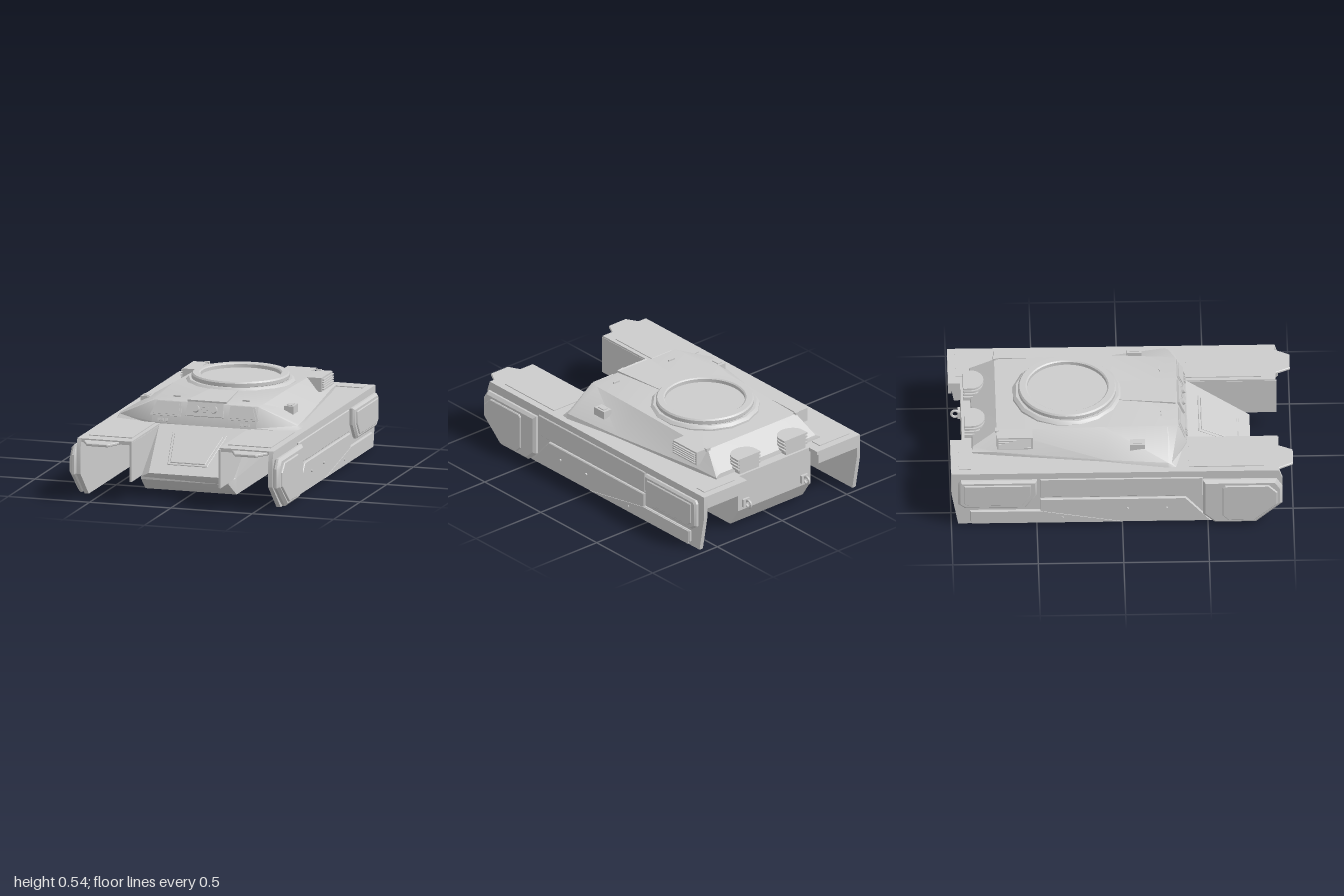
import * as THREE from 'three';
import { toCreasedNormals } from 'three/addons/utils/BufferGeometryUtils.js';

const material = new THREE.MeshStandardMaterial({ color: 0xcccccc, side: THREE.DoubleSide });

// Skin over symmetric cross-sections; each lists its +x half from bottom to top
function loft(sections) {
  const rings = sections.map(h => [...h, ...h.map(([x, y, z]) => [-x, y, z]).reverse()]);
  const n = rings[0].length, pos = [];
  const tri = (a, b, c) => pos.push(...a, ...b, ...c);
  for (let i = 0; i < rings.length - 1; i++) {
    for (let j = 0; j < n; j++) {
      const k = (j + 1) % n, a = rings[i], b = rings[i + 1];
      tri(a[j], a[k], b[k]);
      tri(a[j], b[k], b[j]);
    }
  }
  const first = rings[0], last = rings[rings.length - 1];
  for (let j = 1; j < n - 1; j++) {
    tri(first[0], first[j + 1], first[j]);
    tri(last[0], last[j], last[j + 1]);
  }
  const g = new THREE.BufferGeometry();
  g.setAttribute('position', new THREE.Float32BufferAttribute(pos, 3));
  g.computeVertexNormals();
  return g;
}

// Extruded polygon, optionally chamfered, from z = 0 to z = depth
function slab(points, depth, chamfer = 0) {
  const shape = new THREE.Shape(points.map(p => new THREE.Vector2(...p)));
  const g = new THREE.ExtrudeGeometry(shape, {
    depth: depth - 2 * chamfer, bevelEnabled: chamfer > 0, bevelSegments: 1,
    bevelSize: chamfer, bevelOffset: -chamfer, bevelThickness: chamfer,
  });
  return g.translate(0, 0, chamfer);
}

// Plate parallel to the flank, outline given as [z, y], between x0 and x1
const flank = (points, x0, x1, chamfer) =>
  slab(points, x1 - x0, chamfer).rotateY(-Math.PI / 2).translate(x1, 0, 0);

// Plate lying flat, outline given as [x, z], between y0 and y1
const flat = (points, y0, y1, chamfer) =>
  slab(points, y1 - y0, chamfer).rotateX(Math.PI / 2).translate(0, y1, 0);

const box = (x0, x1, y0, y1, z0, z1) =>
  new THREE.BoxGeometry(x1 - x0, y1 - y0, z1 - z0)
    .translate((x0 + x1) / 2, (y0 + y1) / 2, (z0 + z1) / 2);

function mirrored(g) {
  const m = g.index ? g.toNonIndexed() : g.clone();
  m.scale(-1, 1, 1);
  for (const a of Object.values(m.attributes)) {
    const s = a.itemSize;
    for (let i = 0; i < a.count; i += 3) {
      for (let c = 0; c < s; c++) {
        const p = (i + 1) * s + c, q = (i + 2) * s + c;
        [a.array[p], a.array[q]] = [a.array[q], a.array[p]];
      }
    }
  }
  return m;
}

export function createModel() {
  const model = new THREE.Group();
  model.name = 'armouredVehicle';
  const add = (name, g) => {
    const mesh = new THREE.Mesh(toCreasedNormals(g, 0.5), material);
    mesh.name = name;
    model.add(mesh);
  };
  const pair = (name, g) => {
    add(name + 'Left', g);
    add(name + 'Right', mirrored(g));
  };

  // Lower hull with sloped prow
  add('lowerHull', loft([
    [[.28, .13, -.93], [.28, .2, -.93], [.28, .36, -.93]],
    [[.28, .02, -.86], [.28, .2, -.86], [.28, .36, -.86]],
    [[.28, .02, .62], [.28, .12, .62], [.27, .36, .39]],
    [[.27, .1, .735], [.27, .115, .735], [.215, .145, .76]],
  ]));

  // Faceted upper hull
  add('upperHull', loft([
    [[.4, .35, -.875], [.4, .37, -.875], [.37, .385, -.87]],
    [[.425, .35, -.73], [.42, .38, -.73], [.34, .48, -.73]],
    [[.5, .35, -.1], [.495, .37, -.1], [.345, .498, -.1]],
    [[.57, .35, .27], [.55, .385, .27], [.33, .49, .27]],
    [[.56, .35, .33], [.545, .38, .29], [.32, .487, .33]],
    [[.32, .35, .385], [.32, .368, .385], [.32, .485, .332]],
  ]));

  // Roof centre panel and grab handles
  add('roofPanel', flat([[-.085, -.02], [.085, -.02], [.12, .322], [-.12, .322]], .485, .499));
  pair('roofHandle', box(.19, .235, .485, .5, .23, .238));
  pair('roofHinge', box(.33, .36, .475, .492, -.74, -.72));

  // Turret ring: faceted collar, round rim and sunken floor
  const lathe = (pts, n) => new THREE.LatheGeometry(pts.map(p => new THREE.Vector2(...p)), n)
    .rotateY(Math.PI / n).translate(0, 0, -.31);
  add('turretCollar', lathe([[.325, .475], [.322, .495], [.305, .51], [.26, .51]], 16));
  add('turretRim', lathe([[.282, .505], [.287, .512], [.287, .532], [.279, .541],
    [.243, .541], [.235, .535], [.235, .515], [0, .515]], 64));

  // Front windows, headlight panel and small slots on the sloped nose face
  const onNose = (g, x, y) => g.rotateX(-.42).translate(x, y, .385 - (y - .368) * .453);
  pair('windowFrame', onNose(slab([[-.095, -.045], [.095, -.045], [.06, .04], [-.09, .04]], .006), .24, .445));
  pair('windowPane', onNose(slab([[-.083, -.035], [.076, -.035], [.05, .031], [-.08, .031]], .011), .24, .445));
  add('headlightPanel', onNose(slab([[-.115, -.04], [.115, -.04], [.11, .044], [-.11, .044]], .014), 0, .448));
  pair('headlight', onNose(new THREE.CylinderGeometry(.02, .024, .032, 20)
    .rotateX(Math.PI / 2).translate(0, 0, .014), .055, .45));
  for (let i = 0; i < 3; i++) {
    add('headlightGrille', onNose(box(-.02, .02, -.003, .003, 0, .02), 0, .437 + i * .012));
    pair('noseSlot', onNose(box(-.007, .007, -.009, .009, 0, .008), .23 + i * .023, .382));
  }

  // Glacis hatch
  const onGlacis = g => g.rotateX(-1.038).translate(0, .254, .57);
  add('glacisHatchFrame', onGlacis(slab([[-.122, -.14], [.122, -.14], [.168, .135], [-.168, .135]], .008, .003)));
  add('glacisHatch', onGlacis(slab([[-.108, -.126], [.108, -.126], [.15, .121], [-.15, .121]], .014, .003)));

  // Track covers with end flaps and raised top panels
  pair('fender', box(.27, .6, .338, .36, -1, .915));
  pair('fenderNose', flat([[.34, .9], [.575, .9], [.52, 1], [.39, 1]], .335, .352, .004));
  pair('rearFlap', box(.28, .6, .28, .35, -1, -.98));
  pair('fenderFrontPanel', box(.295, .56, .355, .365, .39, .83));
  pair('fenderRearPanel', box(.33, .56, .355, .365, -.955, -.885));
  pair('innerGuard', flank([[.92, .35], [.92, .12], [.68, .12], [.4, .3], [.4, .35]], .268, .28));

  // Side skirts and their layered armour
  pair('skirt', flank([[.915, .36], [.935, .3], [.935, .15], [.78, 0], [-.96, 0], [-1, .22], [-1, .36]], .577, .603));
  pair('upperSkirtPanel', flank([[.47, .32], [.47, .19], [-.48, .19], [-.48, .32]], .6, .612, .004));
  pair('lowerSkirtPanel', flank([[.52, .01], [.37, .182], [-.48, .182], [-.48, .1], [-.89, .1], [-.89, .03], [-.87, .01]], .6, .62, .005));
  pair('skirtWedge', flank([[0, .014], [-.48, .097], [-.88, .097], [-.88, .014]], .61, .624));
  for (const [z, y] of [[.26, .11], [.03, .11], [-.35, .05]]) {
    pair('skirtBolt', new THREE.CylinderGeometry(.007, .007, .012, 8)
      .rotateZ(Math.PI / 2).translate(.624, y, z));
  }

  // Front and rear armour pods
  pair('frontPod', flank([[.935, .26], [.9, .315], [.47, .315], [.47, .07], [.54, .008], [.78, .008], [.935, .145]], .6, .645, .016));
  pair('frontPodPlate', flank([[.905, .235], [.855, .285], [.6, .285], [.585, .27], [.585, .07], [.62, .035], [.77, .035], [.905, .15]], .635, .655, .005));
  pair('rearPod', flank([[-.5, .325], [-.945, .325], [-.96, .305], [-.96, .16], [-.92, .13], [-.565, .13], [-.5, .225]], .6, .637, .012));
  pair('rearPodPlate', flank([[-.535, .3], [-.925, .3], [-.925, .175], [-.9, .155], [-.585, .155], [-.535, .23]], .63, .645, .004));

  // Side vents with slats, and roof-edge sensor boxes
  pair('sideVent', box(.34, .428, .405, .488, -.73, -.52));
  for (let i = 0; i < 5; i++) pair('ventSlat', box(.42, .44, .415 + i * .014, .422 + i * .014, -.72, -.53));
  pair('sensorBox', box(.412, .47, .41, .458, .048, .135));
  pair('sensorCap', box(.425, .457, .45, .463, .065, .118));

  // Exhausts: stacked half-round louvres facing the rear
  const halfRound = (r, y0, y1) => {
    const pts = [[-r, -.915]];
    for (let i = 0; i <= 12; i++) {
      const a = Math.PI * (1 - i / 12);
      pts.push([r * Math.cos(a), -.87 + r * .85 * Math.sin(a)]);
    }
    pts.push([r, -.915]);
    return flat(pts, y0, y1).translate(.18, 0, 0);
  };
  pair('exhaustCore', halfRound(.075, .36, .45));
  for (let i = 0; i < 4; i++) pair('exhaustLouvre', halfRound(.088, .382 + i * .021, .394 + i * .021));

  // Rear tow hooks
  pair('towBracket', box(.2, .25, .15, .2, -.945, -.925));
  pair('towHook', new THREE.TorusGeometry(.022, .008, 8, 16)
    .rotateY(Math.PI / 2).translate(.225, .172, -.96));
  return model;
}
